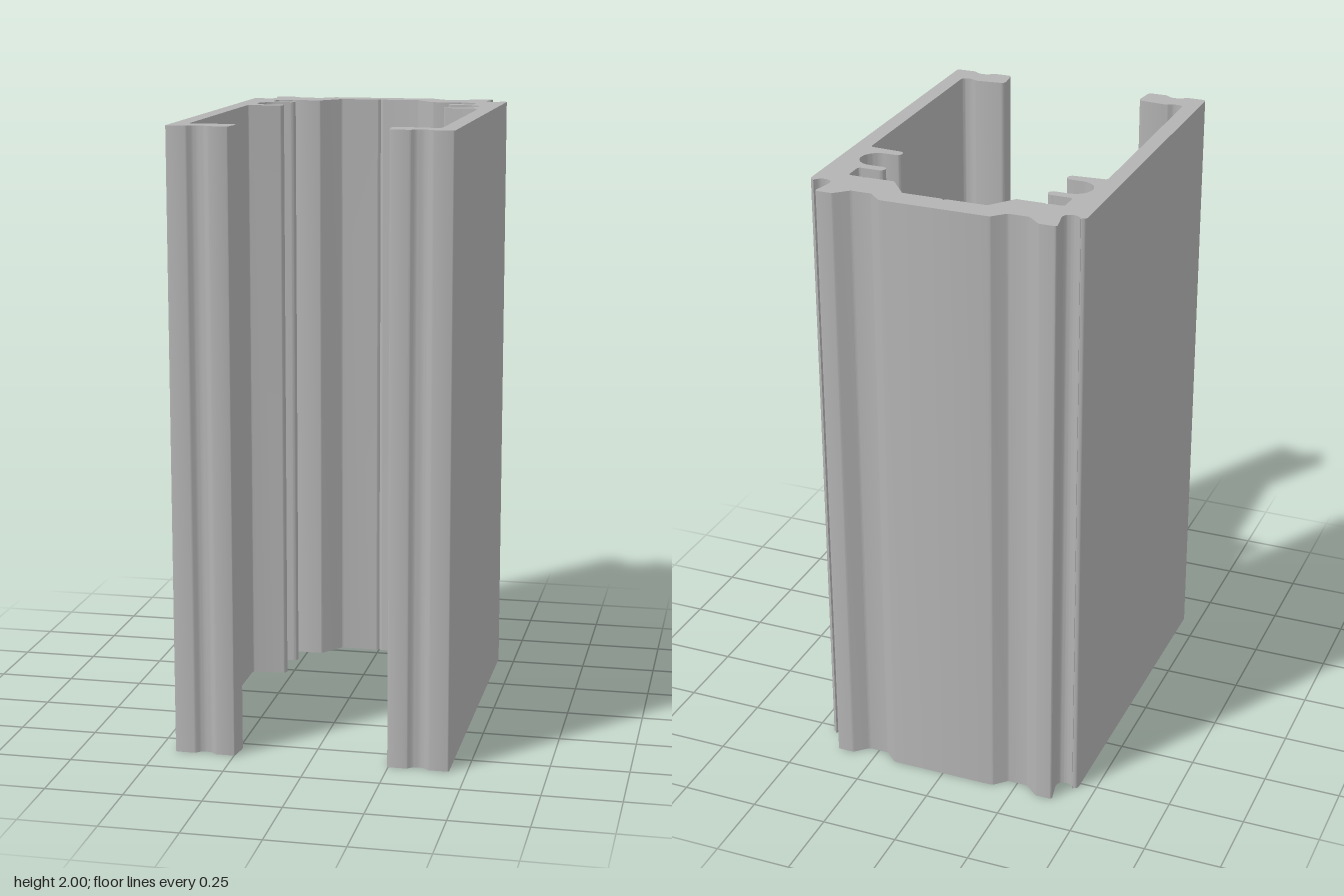
import * as THREE from 'three';
import { toCreasedNormals } from 'three/addons/utils/BufferGeometryUtils.js';

// Half of the cross-section, from back centre round to inner centre: x, z, corner size
const HALF = [
  [0, -0.615, 0], [0.177, -0.615, 0.005], [0.217, -0.575, 0.004], [0.285, -0.575, 0.004],
  [0.328, -0.615, 0.004], [0.386, -0.615, 0.01],
  // outer groove
  [0.366, -0.515, 0.032], [0.423, -0.515, 0.022], [0.427, -0.533, 0.004], [0.444, -0.527, 0.01],
  // side wall and front lip
  [0.444, 0.612, 0.008], [0.378, 0.612, 0.004], [0.361, 0.595, 0.012], [0.327, 0.595, 0.012],
  [0.31, 0.612, 0.004], [0.247, 0.612, 0.009], [0.237, 0.53, 0.016], [0.343, 0.52, 0.012],
  [0.355, 0.532, 0.008], [0.392, 0.532, 0.018],
  // lower rib
  [0.392, -0.205, 0.01], [0.273, -0.213, 0.014], [0.273, -0.246, 0.014],
  // round channel
  [0.38, -0.246, 0.055], [0.38, -0.356, 0.055],
  // upper rib and pocket
  [0.265, -0.356, 0.015], [0.265, -0.388, 0.015], [0.349, -0.388, 0.01], [0.349, -0.457, 0.01],
  [0.304, -0.457, 0.002], [0.296, -0.463, 0.002], [0.288, -0.457, 0.002],
  // stepped roof with centre mark
  [0.197, -0.457, 0.003], [0.136, -0.535, 0.003], [0.009, -0.535, 0.002], [0, -0.543, 0],
];

// Replace each corner by a short curve
function roundedPoints(corners) {
  const pts = corners.map(([x, z]) => new THREE.Vector2(x, -z));
  const out = [];
  pts.forEach((p, i) => {
    const r = corners[i][2];
    if (!r) { out.push(p); return; }
    const toward = (q, d) => p.clone().add(q.clone().sub(p).setLength(d));
    const a = pts[i - 1], b = pts[i + 1];
    const curve = new THREE.CubicBezierCurve(
      toward(a, r), toward(a, r * 0.448), toward(b, r * 0.448), toward(b, r));
    out.push(...curve.getPoints(r > 0.03 ? 10 : r > 0.007 ? 5 : 2));
  });
  return out;
}

export function createModel() {
  const group = new THREE.Group();
  group.name = 'channelProfile';
  const aluminium = new THREE.MeshStandardMaterial({ color: 0xb3b3b3 });
  aluminium.name = 'aluminium grey';

  // Mirror the half outline and extrude it upright
  const half = roundedPoints(HALF);
  const mirrored = half.slice(1, -1).reverse().map((p) => new THREE.Vector2(-p.x, p.y));
  const shape = new THREE.Shape([...half, ...mirrored]);
  const solid = new THREE.ExtrudeGeometry(shape, { depth: 2, bevelEnabled: false });
  solid.rotateX(-Math.PI / 2);

  const extrusion = new THREE.Mesh(toCreasedNormals(solid, 0.5), aluminium);
  extrusion.name = 'extrusion';
  group.add(extrusion);
  return group;
}
